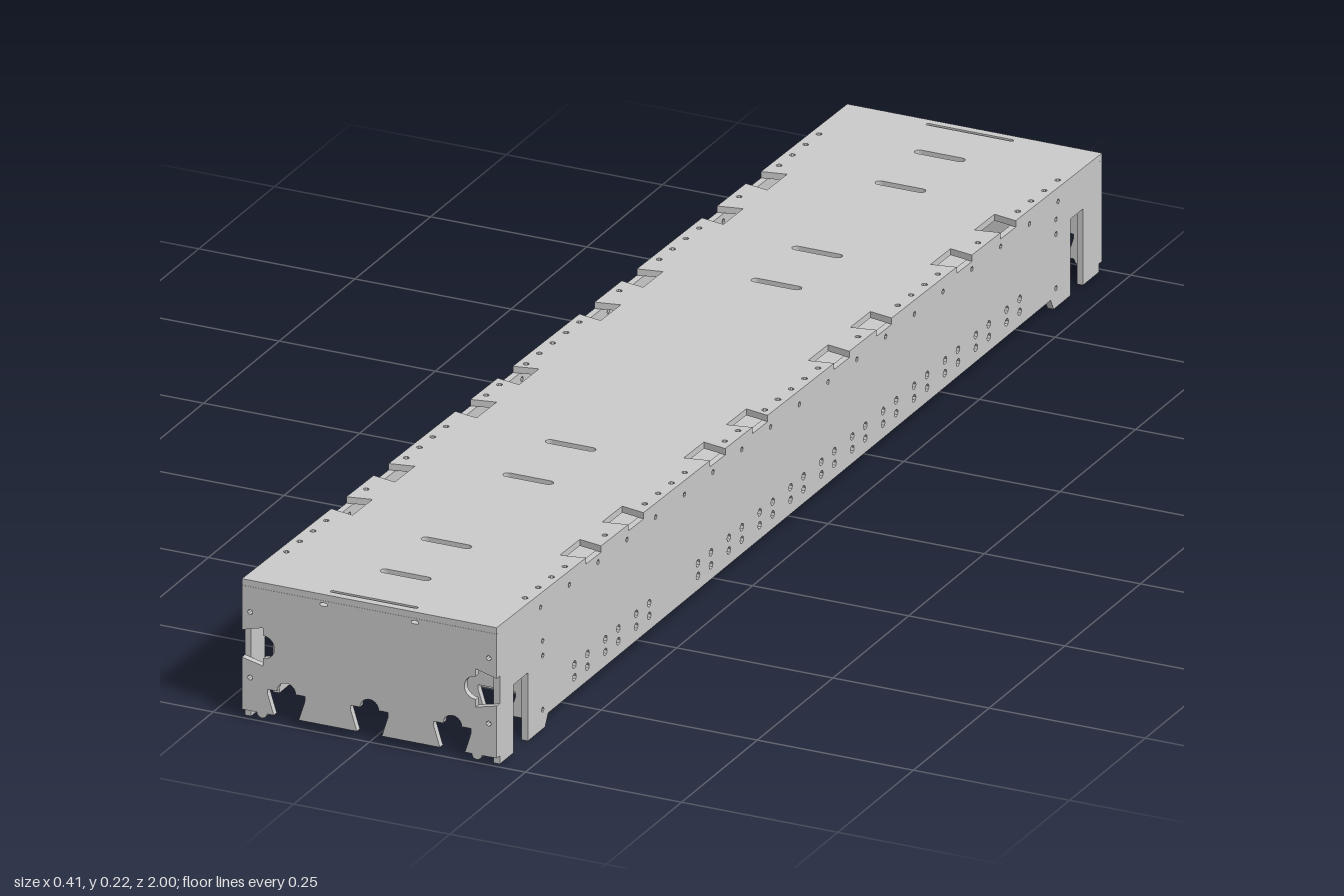
import * as THREE from 'three';

const T = 0.01;                                  // sheet thickness
const W = 0.204;                                 // half width
const topY = z => 0.2005 + 0.0175 * z;           // sloping deck height
const material = new THREE.MeshStandardMaterial({ color: 0xcccccc, side: THREE.DoubleSide });

const arc = (cx, cy, r, a0, a1, n = 10) => Array.from({ length: n + 1 }, (_, i) => {
  const a = a0 + (a1 - a0) * i / n;
  return [cx + r * Math.cos(a), cy + r * Math.sin(a)];
});
const toPoints = list => list.map(p => new THREE.Vector2(p[0], p[1]));
const hole = (x, y, r) => arc(x, y, r, 0, Math.PI * 1.75, 7);
const slot = (x, y, w, h) => [
  ...arc(x + w - h, y, h, -Math.PI / 2, Math.PI / 2, 6),
  ...arc(x - w + h, y, h, Math.PI / 2, Math.PI * 1.5, 6)];

function sheet(outline, holes) {
  const shape = new THREE.Shape(toPoints(outline));
  holes.forEach(h => shape.holes.push(new THREE.Path(toPoints(h))));
  return new THREE.ExtrudeGeometry(shape, { depth: T, bevelEnabled: false });
}

// Right half of a lower edge with dovetail cut-outs, optionally with round reliefs
function dovetailEdge(round, width) {
  const pi = Math.PI;
  const bump = round ? arc(0.172, 0.013, 0.008, pi, 2 * pi, 8) : [];
  return [
    ...(round ? arc(0, 0.052, 0.015, 1.45, 0, 6) : []),
    [0.03, 0.052], [0.03, 0.045], [0.02, 0.013], [0.113, 0.013], [0.103, 0.045], [0.103, 0.052],
    ...(round ? arc(0.133, 0.052, 0.015, pi, 0) : []),
    [0.163, 0.052], [0.163, 0.045], [0.153, 0.013], ...bump, [width, 0.013]];
}

// Upright cross panel; the front one also has side pockets
function crossPanel(round, pockets, width, top) {
  const half = dovetailEdge(round, width);
  if (pockets) half.push([width, 0.095], [0.17, 0.087],
    ...arc(0.17, 0.117, 0.018, Math.PI * 1.5, Math.PI * 0.5),
    [0.17, 0.147], [width, 0.138]);
  half.push([width, top]);
  const outline = [...half, ...half.slice().reverse().map(([x, y]) => [-x, y])];
  const holes = [];
  if (round) for (const s of [-1, 1]) {
    holes.push(slot(s * 0.073, top - 0.006, 0.006, 0.0025));
    for (const y of [0.065, top - 0.04]) holes.push(hole(s * 0.191, y, 0.004));
  }
  return sheet(outline, holes);
}

// Long wall drawn in z, y with a tall notch near each end
function sidePanel() {
  const e = 1 - T;
  const outline = [
    [-e, 0], [-0.937, 0], [-0.937, 0.12], [-0.895, 0.12], [-0.895, 0], [-0.84, 0], [-0.83, 0.018],
    [0.83, 0.018], [0.84, 0], [0.897, 0], [0.897, 0.107], [0.945, 0.107], [0.945, 0], [e, 0],
    [e, topY(e) - T], [-e, topY(-e) - T]];
  const holes = [];
  for (let i = 0; i < 15; i++) {
    if (i === 3) continue;
    for (const d of [0, 0.043]) for (const y of [0.04, 0.06]) {
      holes.push(hole(0.743 - i * 0.102 - d, y, 0.006));
    }
  }
  for (let i = -9; i <= 9; i++) holes.push(hole(i * 0.095, topY(i * 0.095) - 0.022, 0.004));
  for (const s of [-1, 1]) for (const y of [0.03, 0.115, 0.138]) holes.push(hole(s * 0.848, y, 0.004));
  return sheet(outline, holes).rotateY(-Math.PI / 2);
}

// Deck drawn in x, z with edge pockets, cross slots and screw holes
function deckPanel() {
  const pockets = [-0.69, -0.545, -0.28, -0.14, 0.13, 0.27, 0.54, 0.68];
  const edge = [[W, -1]];
  pockets.forEach(z => edge.push([W, z - 0.025], [0.166, z - 0.033], [0.166, z + 0.033], [W, z + 0.025]));
  edge.push([W, 1]);
  const outline = [...edge, ...edge.slice().reverse().map(([x, z]) => [-x, z])];
  const holes = [-0.885, -0.755, -0.48, -0.345, 0.335, 0.475, 0.745, 0.88].map(z => slot(0, z, 0.04, 0.007));
  for (const s of [-1, 1]) {
    holes.push(slot(0, s * 0.984, 0.07, 0.003));
    for (let i = -20; i <= 20; i++) {
      const z = i * 0.044;
      if (pockets.every(p => Math.abs(p - z) > 0.04)) holes.push(hole(s * 0.191, z, 0.0045));
    }
  }
  const g = sheet(outline, holes).rotateX(Math.PI / 2);
  const pos = g.attributes.position;             // shear the flat sheet to the slope
  for (let i = 0; i < pos.count; i++) pos.setY(i, pos.getY(i) + topY(pos.getZ(i)));
  g.computeVertexNormals();
  return g;
}

export function createModel() {
  const model = new THREE.Group();
  const add = (name, geometry, x, y, z) => {
    const mesh = new THREE.Mesh(geometry, material);
    mesh.name = name;
    mesh.position.set(x, y, z);
    model.add(mesh);
  };

  add('topDeck', deckPanel(), 0, 0, 0);
  add('leftSide', sidePanel(), W, 0, 0);
  add('rightSide', sidePanel(), -W + T, 0, 0);
  add('frontEnd', crossPanel(true, true, W, topY(0.99) - T), 0, 0, 1 - T);
  add('backEnd', crossPanel(true, false, W, topY(-1) - T), 0, 0, -1);

  // Inner bulkheads and the raised floor between them
  add('frontBulkhead', crossPanel(false, false, W - T, topY(0.843) - T), 0, 0, 0.843);
  add('backBulkhead', crossPanel(false, false, W - T, topY(-0.853) - T), 0, 0, -0.853);
  add('floor', new THREE.BoxGeometry(2 * (W - T), 0.008, 1.686), 0, 0.049, 0);
  return model;
}
